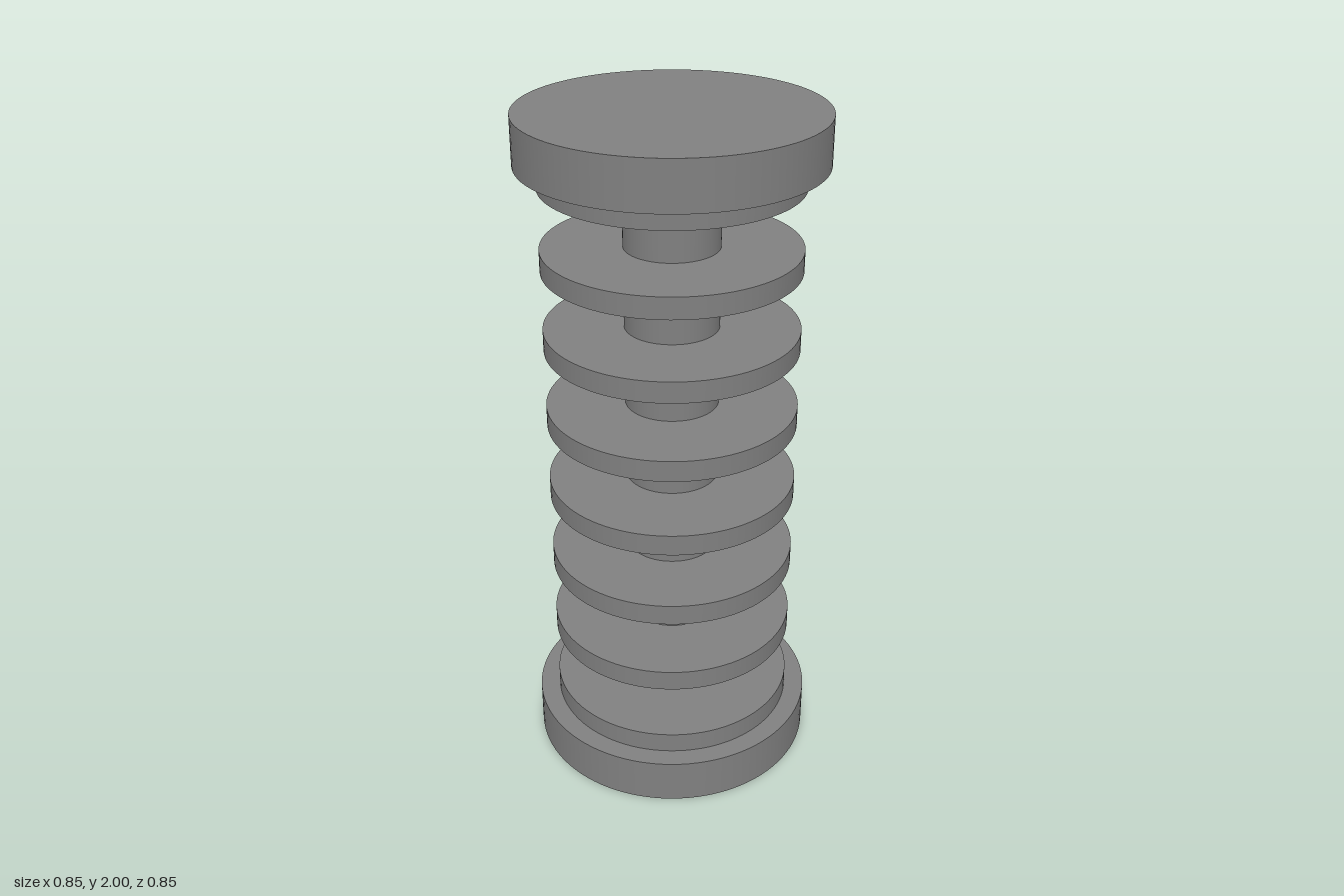
import * as THREE from 'three';

export function createModel() {
  const model = new THREE.Group();
  model.name = 'finnedSpool';

  const grey = new THREE.MeshStandardMaterial({ color: 0x808080 });
  grey.name = 'grey';

  const HEIGHT = 2;
  const CAP = 0.137; // end cap thickness
  const FIN = 0.063; // fin thickness
  const FIN_COUNT = 8;

  // Upright round part spanning bottom..top
  function disc(name, radius, bottom, top) {
    const mesh = new THREE.Mesh(new THREE.CylinderGeometry(radius, radius, top - bottom, 96), grey);
    mesh.position.y = (bottom + top) / 2;
    mesh.name = name;
    model.add(mesh);
  }

  // Wide end caps
  disc('bottomCap', 0.425, 0, CAP);
  disc('topCap', 0.425, HEIGHT - CAP, HEIGHT);

  // Central shaft between the caps
  disc('shaft', 0.136, CAP, HEIGHT - CAP);

  // Evenly spaced fins, the outer two resting against the caps
  const pitch = (HEIGHT - 2 * CAP - FIN) / (FIN_COUNT - 1);
  for (let i = 0; i < FIN_COUNT; i++) {
    const bottom = CAP + i * pitch;
    disc(`fin${i + 1}`, 0.365, bottom, bottom + FIN);
  }

  return model;
}
